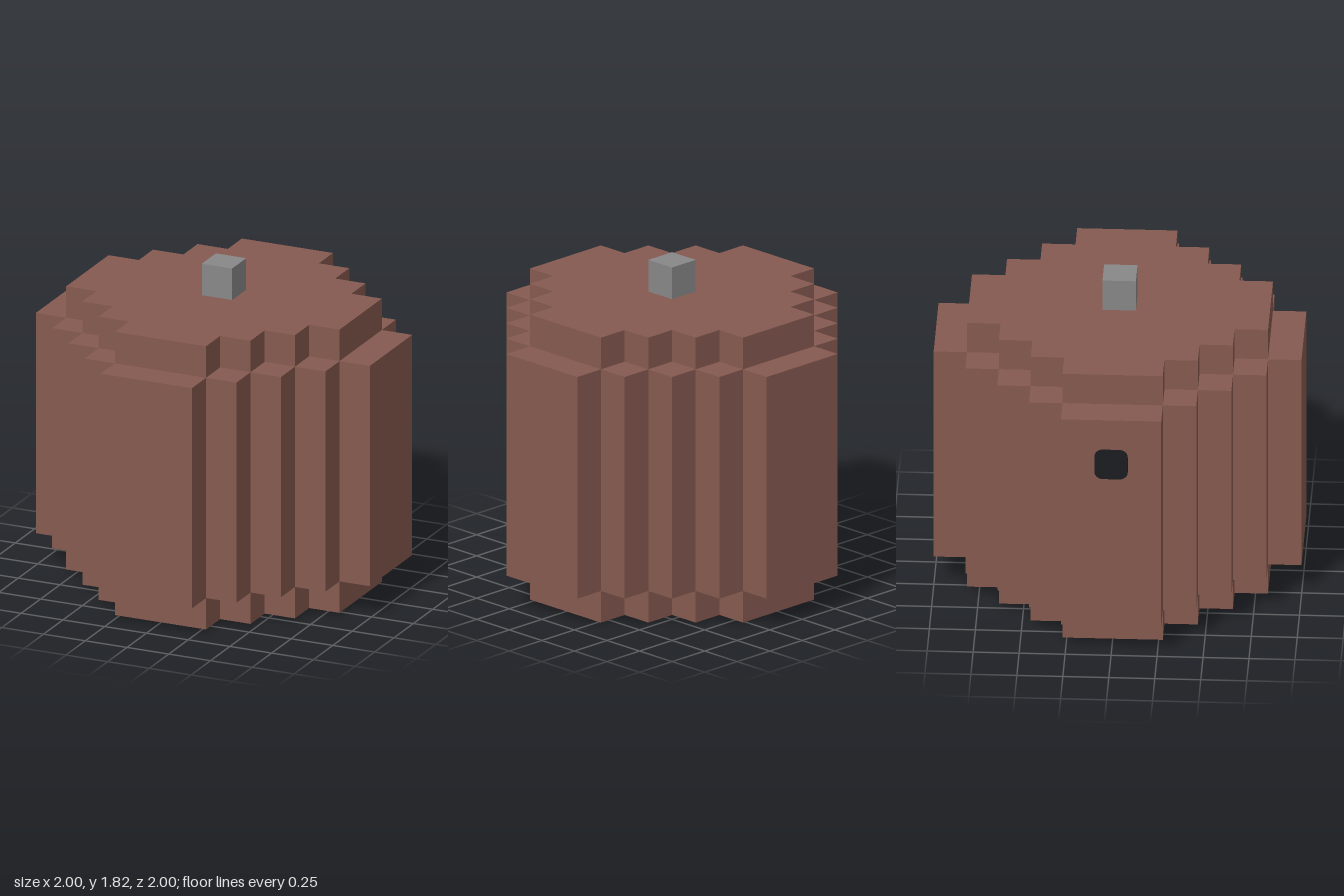
import * as THREE from 'three';

const U = 2 / 11; // edge of one block

const brown = new THREE.MeshStandardMaterial({ name: 'brown', color: 0x865a50 });
const grey = new THREE.MeshStandardMaterial({ name: 'grey', color: 0x888888 });
const black = new THREE.MeshStandardMaterial({ name: 'black', color: 0x1c1d22 });

// Stepped disc: one staircase quarter turned four times, extruded upwards
function steppedLayer(name, radius, y, height) {
  const points = [];
  for (let q = 0; q < 4; q++) {
    const c = [1, 0, -1, 0][q], s = [0, 1, 0, -1][q];
    const add = (x, z) => points.push(new THREE.Vector2((x * c - z * s) * U, (x * s + z * c) * U));
    for (let x = radius, z = 1.5; x >= 1.5; x--, z++) {
      add(x, z);
      if (x > 1.5) add(x - 1, z);
    }
  }
  const geometry = new THREE.ExtrudeGeometry(new THREE.Shape(points), { depth: height * U, bevelEnabled: false });
  geometry.rotateX(-Math.PI / 2);
  const mesh = new THREE.Mesh(geometry, brown);
  mesh.name = name;
  mesh.position.y = y * U;
  return mesh;
}

// Thin square plate with rounded corners, facing +z
function spotGeometry() {
  const h = U / 2, r = U * 0.25;
  const shape = new THREE.Shape();
  shape.absarc(h - r, h - r, r, 0, Math.PI / 2);
  shape.absarc(r - h, h - r, r, Math.PI / 2, Math.PI);
  shape.absarc(r - h, r - h, r, Math.PI, Math.PI * 1.5);
  shape.absarc(h - r, r - h, r, Math.PI * 1.5, Math.PI * 2);
  return new THREE.ExtrudeGeometry(shape, { depth: 0.003, bevelEnabled: false, curveSegments: 4 });
}

export function createModel() {
  const model = new THREE.Group();
  model.name = 'blockBarrel';

  // Wide body between two narrower rims
  model.add(
    steppedLayer('bottomRim', 4.5, 0, 1),
    steppedLayer('body', 5.5, 1, 7),
    steppedLayer('topRim', 4.5, 8, 1),
  );

  // Stem block on top
  const stem = new THREE.Mesh(new THREE.BoxGeometry(U, U, U), grey);
  stem.name = 'stem';
  stem.position.y = 9.5 * U;
  model.add(stem);

  // Dark spots on the -x side and underneath
  const sideSpot = new THREE.Mesh(spotGeometry(), black);
  sideSpot.name = 'sideSpot';
  sideSpot.rotation.y = -Math.PI / 2;
  sideSpot.position.set(-1, 6.5 * U, 0);
  const bottomSpot = new THREE.Mesh(spotGeometry(), black);
  bottomSpot.name = 'bottomSpot';
  bottomSpot.rotation.x = Math.PI / 2;
  model.add(sideSpot, bottomSpot);

  return model;
}
